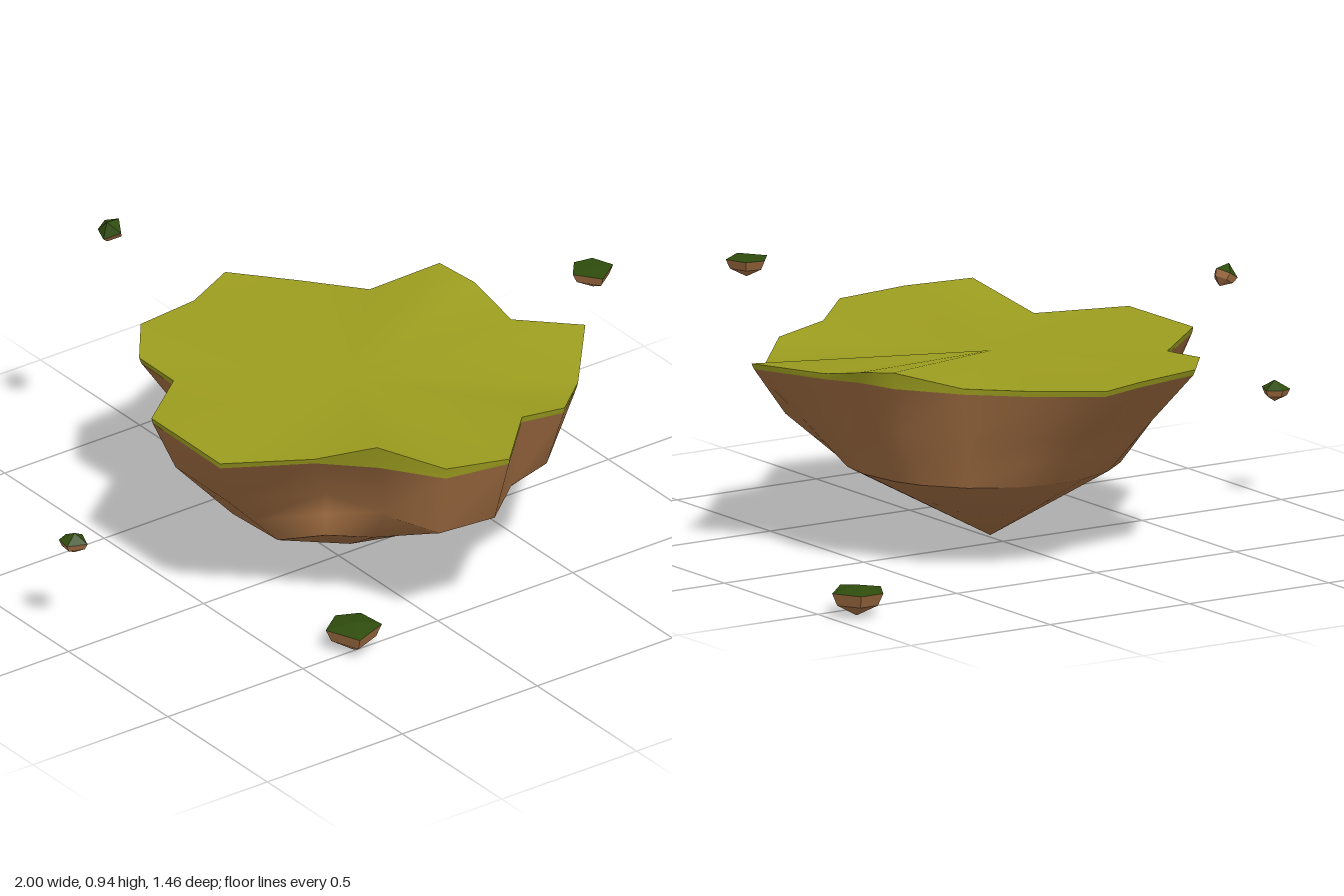
import * as THREE from 'three';

const grass = new THREE.MeshStandardMaterial({ color: 0x9c9d1f });
grass.name = 'grass';
const earth = new THREE.MeshStandardMaterial({ color: 0xa36f43 });
earth.name = 'earth';
const moss = new THREE.MeshStandardMaterial({ color: 0x2f4c0d });
moss.name = 'moss';

// Joins rings from top to bottom; optional caps fan to a point.
function loft(rings, { top, tip, flat } = {}) {
  const n = rings[0].length;
  const pos = rings.flat(2);
  const index = [];
  for (let r = 0; r < rings.length - 1; r++) {
    for (let i = 0; i < n; i++) {
      const a = r * n + i, b = r * n + (i + 1) % n;
      index.push(a, b, b + n, a, b + n, a + n);
    }
  }
  const last = (rings.length - 1) * n;
  if (top) {
    const c = pos.length / 3;
    pos.push(...top);
    for (let i = 0; i < n; i++) index.push(c, (i + 1) % n, i);
  }
  if (tip) {
    const c = pos.length / 3;
    pos.push(...tip);
    for (let i = 0; i < n; i++) index.push(last + i, last + (i + 1) % n, c);
  }
  let geo = new THREE.BufferGeometry();
  geo.setAttribute('position', new THREE.Float32BufferAttribute(pos, 3));
  geo.setIndex(index);
  if (flat) geo = geo.toNonIndexed();
  geo.computeVertexNormals();
  return geo;
}

function part(name, geometry, material) {
  const mesh = new THREE.Mesh(geometry, material);
  mesh.name = name;
  return mesh;
}

const mix = (a, b, t) => a.map((v, i) => v + (b[i] - v) * t);

// Ragged outline of the island's upper edge
const rim = [
  [0.11, 0.61, -0.72], [0.27, 0.6, -0.56], [0.41, 0.595, -0.4], [0.61, 0.655, -0.32],
  [0.645, 0.635, -0.19], [0.64, 0.595, 0], [0.782, 0.61, 0.18], [0.63, 0.54, 0.35],
  [0.455, 0.585, 0.52], [0.29, 0.612, 0.53], [0.1, 0.618, 0.725], [-0.11, 0.637, 0.69],
  [-0.24, 0.677, 0.52], [-0.34, 0.59, 0.34], [-0.597, 0.603, 0.215], [-0.597, 0.605, -0.13],
  [-0.39, 0.59, -0.3], [-0.4, 0.6, -0.46], [-0.28, 0.607, -0.615], [-0.06, 0.602, -0.645],
];

// Overhanging ledge under the front and left edge, rim points 7 to 16
const ledge = [
  [0.56, 0.4, 0.33], [0.44, 0.37, 0.45], [0.28, 0.365, 0.49], [0.1, 0.385, 0.65],
  [-0.09, 0.385, 0.63], [-0.17, 0.41, 0.47], [-0.21, 0.38, 0.22], [-0.525, 0.425, 0.15],
  [-0.53, 0.43, -0.1], [-0.35, 0.41, -0.27],
];

function island() {
  const g = new THREE.Group();
  g.name = 'island';
  // Round foot of the cliff
  const foot = rim.map(([x, , z]) => {
    const a = Math.atan2(z, x - 0.08);
    const fx = 0.08 + 0.42 * Math.cos(a);
    return [fx, fx < -0.29 ? 0.215 : 0.27, 0.43 * Math.sin(a)];
  });
  // The back and right cliff run straight down to the foot
  const waist = rim.map((p, i) => ledge[i - 7] ?? mix(p, foot[i], 0.52));
  // A second ring close below the front ledge keeps its edge tight
  const underLedge = waist.map((p, i) => mix(p, foot[i], i > 7 && i < 13 ? 0.12 : 0.5));
  // Grass hangs almost plumb over the edge to a nearly level line
  const fringe = rim.map((p, i) => {
    const y = Math.min(p[1] - 0.018, 0.602);
    const [x, , z] = mix(p, waist[i], 0.5 * (p[1] - y) / (p[1] - waist[i][1]));
    return [x, y, z];
  });
  g.add(
    part('grassTop', loft([rim], { top: [0.04, 0.59, 0] }), grass),
    part('grassFringe', loft([rim, fringe]), grass),
    part('cliff', loft([fringe, waist, underLedge, foot]), earth),
    part('bottomCone', loft([foot], { tip: [0.045, 0.025, 0] }), earth),
  );
  return g;
}

// Small five-sided rock with a mossy cap above its brim
const rockOutline = [[1, 0], [0, 1], [-1, 0.03], [-0.45, -0.95], [0.45, -0.95]];

function rock(position, r, h, brim, turn, lean = 0) {
  const g = new THREE.Group();
  g.name = 'floatingRock';
  const ring = (radius, level) =>
    rockOutline.map(([x, z]) => [x * radius, (level - 0.5) * h, z * radius]);
  const edge = ring(r, brim);
  g.add(
    part('mossCap', loft([edge], { top: [0, h / 2, 0], flat: true }), moss),
    part('rockBody', loft([edge, ring(r * 0.8, brim * 0.5)], { tip: [0, -h / 2, 0], flat: true }), earth),
  );
  g.position.set(...position);
  g.rotation.set(0, turn, lean);
  return g;
}

export function createModel() {
  const model = new THREE.Group();
  model.name = 'floatingIsland';
  model.add(
    island(),
    rock([0.91, 0.047, -0.575], 0.088, 0.094, 0.82, 0),
    rock([-0.308, 0.047, 0.495], 0.086, 0.094, 0.82, -0.42),
    rock([0.697, 0.867, 0.333], 0.068, 0.06, 0.96, -0.17),
    rock([-0.957, 0.345, -0.028], 0.045, 0.065, 0.6, 0.4),
    rock([-0.328, 0.908, -0.697], 0.041, 0.076, 0.55, 0.2, 0.55),
  );
  return model;
}
